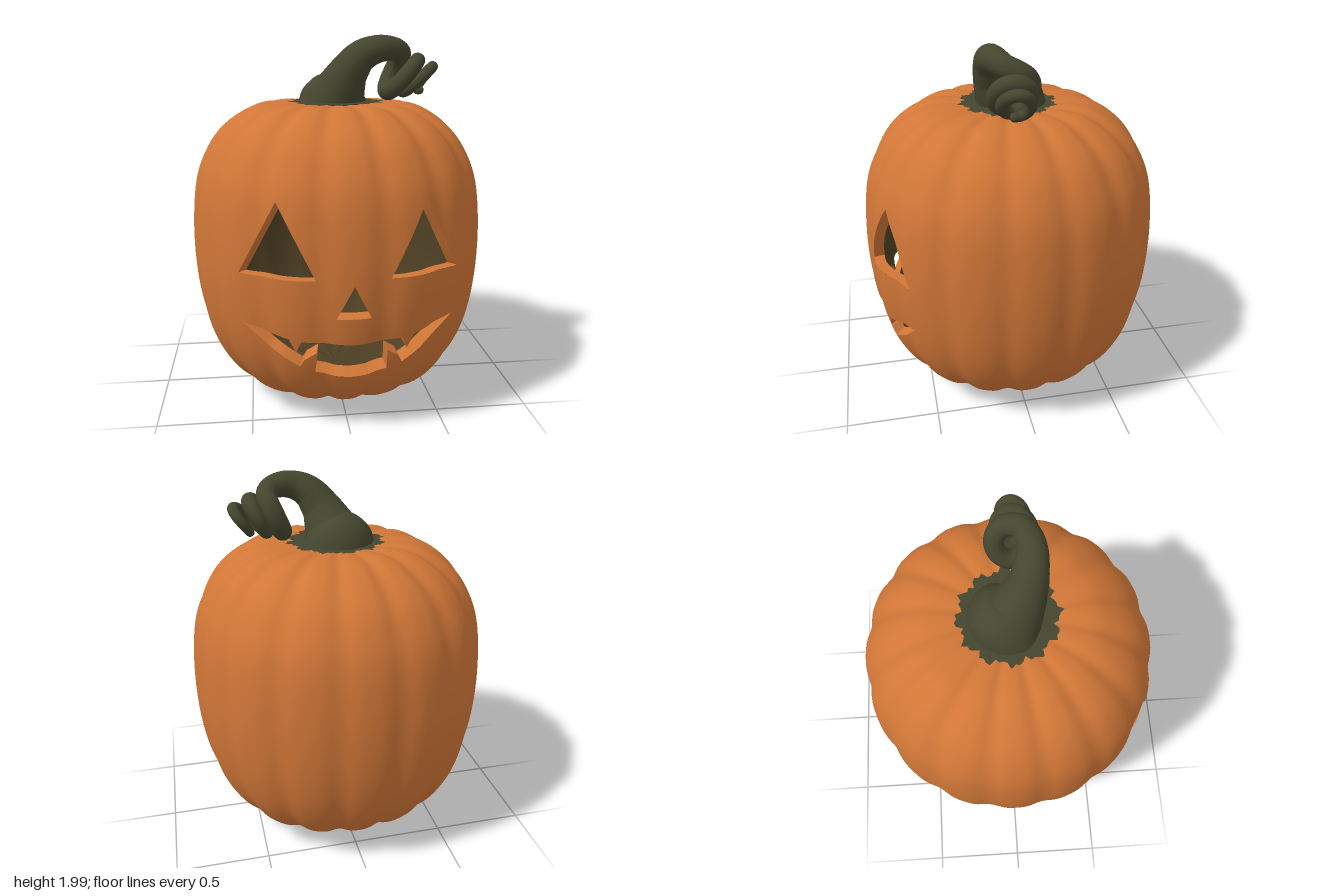
import * as THREE from 'three';

const CENTRE = new THREE.Vector3(0, 0.88, 0);
const WALL = 0.93; // inner shell as a fraction of the outer one
const V2 = ([x, y]) => new THREE.Vector2(x, y);

// Ribbed body: spline profile turned round y, shallow grooves, slightly fuller on the diagonals
function bodySurface(around = 192, up = 72, ribs = 16) {
  const profile = new THREE.SplineCurve([
    [0, 0.012], [0.2, 0.012], [0.38, 0.045], [0.58, 0.16], [0.71, 0.35], [0.78, 0.6], [0.802, 0.92],
    [0.775, 1.23], [0.7, 1.42], [0.6, 1.54], [0.46, 1.625], [0.34, 1.645], [0.2, 1.64], [0, 1.635],
  ].map(V2)).getSpacedPoints(up);
  const pos = [], index = [];
  profile.forEach((p, j) => {
    const r = Math.max(p.x, 0);
    for (let i = 0; i < around; i++) {
      const a = (i / around) * Math.PI * 2;
      const groove = ((1 - Math.cos(ribs * a)) / 2) ** 2;
      const s = 1 - 0.02 * groove * Math.min(1, r / 0.5);
      const q = r * s * (1 + 0.015 * Math.sin(2 * a) ** 2);
      pos.push(q * Math.sin(a), CENTRE.y + (p.y - CENTRE.y) * s, q * Math.cos(a));
      if (j === up) continue;
      const n = (i + 1) % around, k = j * around;
      index.push(k + i, k + n, k + around + n, k + i, k + around + n, k + around + i);
    }
  });
  const g = new THREE.BufferGeometry();
  g.setAttribute('position', new THREE.Float32BufferAttribute(pos, 3));
  g.setIndex(index);
  g.computeVertexNormals();
  return g;
}

// Triangles as lists of [x, y, z, nx, ny, nz]
function trianglesOf(geometry) {
  const g = geometry.toNonIndexed(), p = g.attributes.position, n = g.attributes.normal, out = [];
  for (let i = 0; i < p.count; i += 3) {
    out.push([i, i + 1, i + 2].map((k) =>
      [p.getX(k), p.getY(k), p.getZ(k), n.getX(k), n.getY(k), n.getZ(k)]));
  }
  return out;
}

// Part of a polygon on one side of line a-b, seen from the front
function clip(poly, a, b, sign) {
  const side = (v) => sign * ((b.x - a.x) * (v[1] - a.y) - (b.y - a.y) * (v[0] - a.x));
  const out = [];
  poly.forEach((v, i) => {
    const w = poly[(i + 1) % poly.length], dv = side(v), dw = side(w);
    if (dv >= 0) out.push(v);
    if ((dv > 0 && dw < 0) || (dv < 0 && dw > 0)) {
      const t = dv / (dv - dw);
      out.push(v.map((c, k) => c + (w[k] - c) * t));
    }
  });
  return out;
}

// Polygon minus a convex cutter
function subtract(poly, cutter) {
  const pieces = [];
  let rest = poly;
  for (let i = 0; i < cutter.length; i++) {
    const a = cutter[i], b = cutter[(i + 1) % cutter.length];
    const outside = clip(rest, a, b, -1);
    if (outside.length > 2) pieces.push(outside);
    rest = clip(rest, a, b, 1);
    if (rest.length < 3) return [poly];
  }
  return pieces;
}

// Face openings, counter-clockwise
function openings() {
  const eye = [[0.18, 0.877], [0.545, 0.877], [0.36, 1.243]];
  const mirror = (pts) => pts.map(([x, y]) => [-x, y]).reverse();
  const lower = [[0.18, 0.372], [0.175, 0.49], [0.235, 0.45], [0.255, 0.405], [0.4, 0.5], [0.53, 0.615]];
  const upper = [[0.31, 0.566], [0.275, 0.49], [0.25, 0.555]];
  const half = [...lower, ...upper];
  const mouth = [[0, 0.343], [0.09, 0.348], ...half, [0, 0.543], ...mirror(half), [-0.09, 0.348]];
  const nose = [[-0.085, 0.685], [0.085, 0.685], [0, 0.853]];
  return [eye, mirror(eye), nose, mouth].map((o) => o.map(V2));
}

function shellGeometry(polys, inner) {
  const pos = [], nor = [];
  const put = (v) => {
    if (inner) {
      pos.push(v[0] * WALL, CENTRE.y + (v[1] - CENTRE.y) * WALL, v[2] * WALL);
      nor.push(-v[3], -v[4], -v[5]);
    } else {
      pos.push(v[0], v[1], v[2]);
      nor.push(v[3], v[4], v[5]);
    }
  };
  for (const p of polys) {
    for (let i = 1; i < p.length - 1; i++) {
      (inner ? [p[0], p[i + 1], p[i]] : [p[0], p[i], p[i + 1]]).forEach(put);
    }
  }
  const g = new THREE.BufferGeometry();
  g.setAttribute('position', new THREE.Float32BufferAttribute(pos, 3));
  g.setAttribute('normal', new THREE.Float32BufferAttribute(nor, 3));
  return g;
}

// Cut faces joining the outer and inner shells round one opening
function rimGeometry(outline, front) {
  const lift = (x, y) => {
    for (const [a, b, c] of front) {
      const d = (b[1] - c[1]) * (a[0] - c[0]) + (c[0] - b[0]) * (a[1] - c[1]);
      if (Math.abs(d) < 1e-12) continue;
      const u = ((b[1] - c[1]) * (x - c[0]) + (c[0] - b[0]) * (y - c[1])) / d;
      const v = ((c[1] - a[1]) * (x - c[0]) + (a[0] - c[0]) * (y - c[1])) / d;
      if (u >= -1e-6 && v >= -1e-6 && u + v <= 1 + 1e-6) {
        return new THREE.Vector3(x, y, u * a[2] + v * b[2] + (1 - u - v) * c[2]);
      }
    }
    return new THREE.Vector3(x, y, 0.75);
  };
  const ring = [];
  outline.forEach((a, i) => {
    const b = outline[(i + 1) % outline.length], steps = Math.ceil(a.distanceTo(b) / 0.02);
    for (let k = 0; k < steps; k++) {
      const p = a.clone().lerp(b, k / steps);
      ring.push(lift(p.x, p.y));
    }
  });
  const pts = [];
  ring.forEach((a, i) => {
    const b = ring[(i + 1) % ring.length];
    const [A, B] = [a, b].map((p) => p.clone().sub(CENTRE).multiplyScalar(WALL).add(CENTRE));
    pts.push(a, b, A, b, B, A);
  });
  const g = new THREE.BufferGeometry().setFromPoints(pts);
  g.computeVertexNormals();
  return g;
}

// Tapered stem running into a coiled tendril; rows are x, y, z, radius
function stemGeometry() {
  const rows = [
    [0, 1.61, 0, 0.215], [0, 1.65, 0.005, 0.2], [0.025, 1.725, 0.05, 0.137], [0.065, 1.815, 0.09, 0.104],
    [0.125, 1.89, 0.113, 0.086], [0.2, 1.925, 0.123, 0.074], [0.27, 1.932, 0.11, 0.066], [0.33, 1.92, 0.08, 0.058],
  ];
  for (let t = 0.06; t < 2.55; t += 0.08) {
    const a = t * Math.PI * 2, r = 0.1 - 0.018 * t;
    rows.push([0.3 + 0.085 * t + 0.06 * Math.cos(a), 1.8 - 0.015 * t + r * Math.cos(a),
      0.045 - r * Math.sin(a), 0.054 - 0.012 * t]);
  }
  const curve = new THREE.CatmullRomCurve3(rows.map(([x, y, z]) => new THREE.Vector3(x, y, z)));
  const rings = 260, sides = 20;
  const g = new THREE.TubeGeometry(curve, rings, 1, sides);
  const p = g.attributes.position, v = new THREE.Vector3();
  for (let k = 0; k < p.count; k++) {
    const u = Math.floor(k / (sides + 1)) / rings;
    const s = curve.getUtoTmapping(u) * (rows.length - 1), i = Math.min(Math.floor(s), rows.length - 2);
    const radius = THREE.MathUtils.lerp(rows[i][3], rows[i + 1][3], s - i);
    const c = curve.getPointAt(u);
    v.fromBufferAttribute(p, k).sub(c).multiplyScalar(radius).add(c);
    p.setXYZ(k, v.x, v.y, v.z);
  }
  g.computeVertexNormals();
  return { geometry: g, tip: rows[rows.length - 1] };
}

// Ragged disc under the stem
function collarGeometry() {
  const g = new THREE.CircleGeometry(0.25, 80).rotateX(-Math.PI / 2);
  const p = g.attributes.position;
  for (let i = 1; i < p.count; i++) {
    const k = (i - 1) % 80;
    const s = 1 + 0.05 * Math.sin(k * 2.4) + 0.06 * Math.sin(k * 0.94 + 1);
    p.setXYZ(i, p.getX(i) * s, 0, p.getZ(i) * s);
  }
  return g.translate(0, 1.649, 0);
}

export function createModel() {
  const model = new THREE.Group();
  const paint = (name, color) => Object.assign(new THREE.MeshStandardMaterial({ color }), { name });
  const orange = paint('orange skin', 0xd07637);
  const dark = paint('dark interior', 0x4c3e23);
  const green = paint('stem green', 0x45462f);
  const add = (name, geometry, material) => {
    const mesh = new THREE.Mesh(geometry, material);
    mesh.name = name;
    model.add(mesh);
    return mesh;
  };

  // Hollow body with the face cut through
  const holes = openings();
  const triangles = trianglesOf(bodySurface());
  const isFront = (t) => t.every((v) => v[2] > 0.2);
  const front = triangles.filter(isFront);
  let cut = front;
  for (const outline of holes) {
    for (const face of THREE.ShapeUtils.triangulateShape(outline, [])) {
      const cutter = face.map((i) => outline[i]);
      if (THREE.ShapeUtils.isClockWise(cutter)) cutter.reverse();
      cut = cut.flatMap((poly) => subtract(poly, cutter));
    }
  }
  const shell = [...triangles.filter((t) => !isFront(t)), ...cut];
  add('body', shellGeometry(shell, false), orange);
  add('interior', shellGeometry(shell, true), dark);
  ['leftEyeRim', 'rightEyeRim', 'noseRim', 'mouthRim'].forEach((name, i) =>
    add(name, rimGeometry(holes[i], front), orange));

  // Stem, tendril and collar
  const { geometry, tip } = stemGeometry();
  add('stem', geometry, green);
  add('tendrilTip', new THREE.SphereGeometry(tip[3], 12, 8), green).position.set(tip[0], tip[1], tip[2]);
  add('collar', collarGeometry(), green);
  return model;
}
